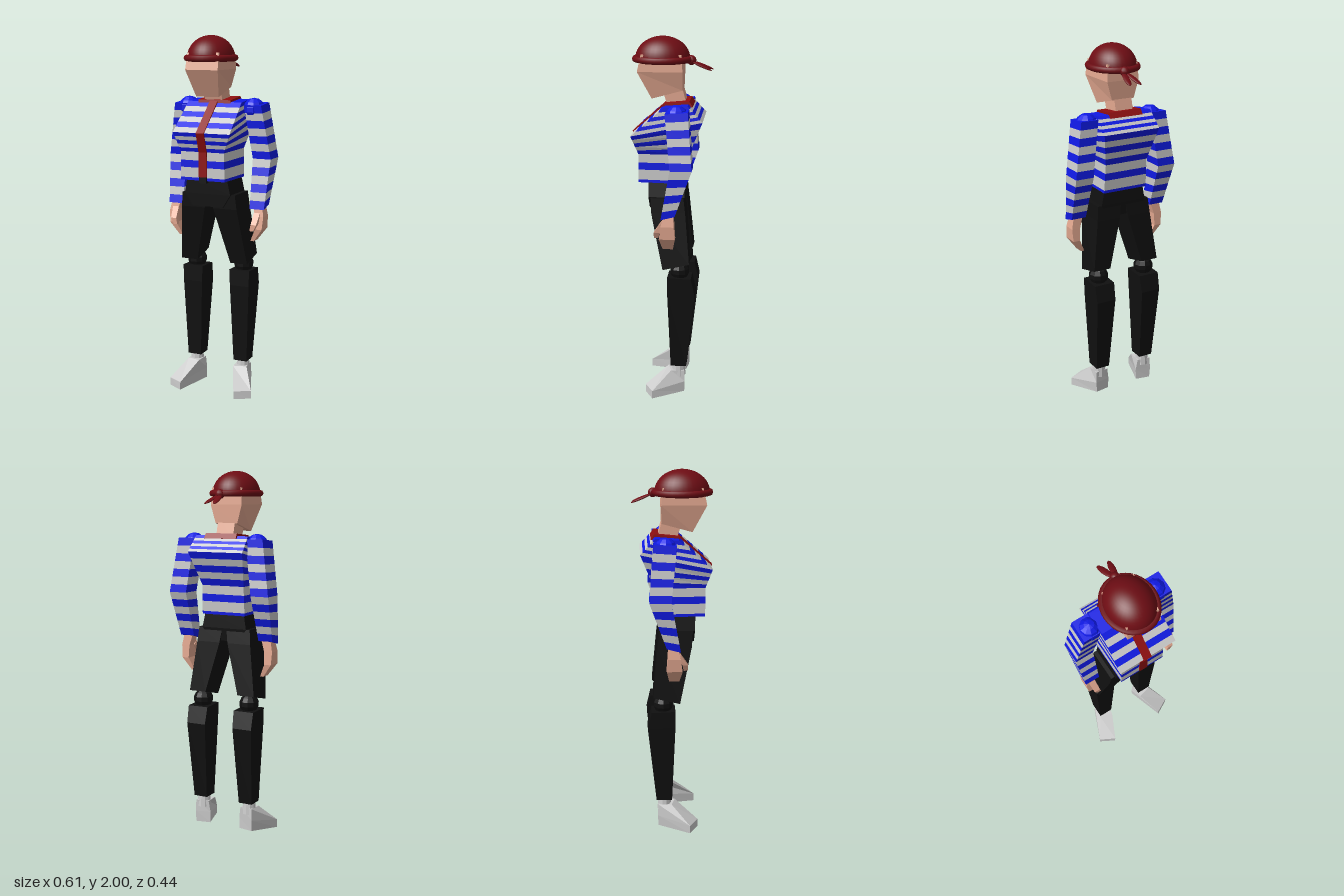
import * as THREE from 'three';

const mat = (color) => new THREE.MeshStandardMaterial({ color, flatShading: true });
const GREY = mat(0xcccccc), BLUE = mat(0x101ae6), RED = mat(0x8f0f10), BLACK = mat(0x101010), SKIN = mat(0xe3a890);
const HAT = new THREE.MeshStandardMaterial({ color: 0x6e0d14 });

// Four-cornered cross-section: centre x, half width, front [y, z], back [y, z]
const ring = (cx, hw, [fy, fz], [by, bz]) => [
  [cx + hw, fy, fz], [cx + hw, by, bz], [cx - hw, by, bz], [cx - hw, fy, fz]];

// Mirrors a cross-section to the other side, keeping the winding
const flip = (r, shift) => [...r].reverse().map(([x, y, z]) => [-x + shift, y, z]);

const mixRings = (a, b, t) => a.map((p, i) => p.map((v, k) => v + (b[i][k] - v) * t));

function toGeometry(positions) {
  const g = new THREE.BufferGeometry();
  g.setAttribute('position', new THREE.Float32BufferAttribute(positions, 3));
  g.computeVertexNormals();
  return g;
}

function addBand(out, a, b) {
  for (let i = 0; i < 4; i++) {
    const j = (i + 1) % 4;
    out.push(...a[i], ...b[i], ...b[j], ...a[i], ...b[j], ...a[j]);
  }
}
const addCap = (out, [a, b, c, d]) => out.push(...a, ...b, ...c, ...a, ...c, ...d);

function add(parent, name, geometry, material, x = 0, y = 0, z = 0) {
  const m = new THREE.Mesh(geometry, material);
  m.name = name;
  m.position.set(x, y, z);
  parent.add(m);
  return m;
}

// Solid through cross-sections listed from top to bottom
function loft(parent, name, rings, material) {
  const out = [];
  for (let i = 0; i + 1 < rings.length; i++) addBand(out, rings[i], rings[i + 1]);
  addCap(out, rings[0]);
  addCap(out, [...rings[rings.length - 1]].reverse());
  return add(parent, name, toGeometry(out), material);
}

// Same, cut into alternating blue and grey bands; stops[i] are the cuts of span i
function stripedLoft(parent, name, rings, stops) {
  const out = [[], []];
  let n = 0;
  stops.forEach((cuts, i) => {
    for (let k = 0; k + 1 < cuts.length; k++, n++) {
      addBand(out[n % 2], mixRings(rings[i], rings[i + 1], cuts[k]), mixRings(rings[i], rings[i + 1], cuts[k + 1]));
    }
  });
  addCap(out[0], rings[0]);
  addCap(out[(n - 1) % 2], [...rings[rings.length - 1]].reverse());
  const g = new THREE.Group();
  g.name = name;
  add(g, name + 'BlueStripes', toGeometry(out[0]), BLUE);
  add(g, name + 'GreyStripes', toGeometry(out[1]), GREY);
  parent.add(g);
}
const even = (n) => Array.from({ length: n + 1 }, (_, i) => i / n);

function addArm(root, side, place) {
  const arm = new THREE.Group();
  arm.name = side + 'Arm';
  root.add(arm);
  // Striped sleeve, bent at the elbow
  stripedLoft(arm, 'sleeve', [
    ring(0.205, 0.05, [1.63, 0.015], [1.64, -0.105]),
    ring(0.25, 0.052, [1.34, -0.015], [1.34, -0.13]),
    ring(0.243, 0.042, [1.07, 0.035], [1.09, -0.04]),
  ].map(place), [even(7), even(6)]);
  // Puffed shoulder
  const [px] = place(ring(0.192, 0, [0, 0], [0, 0]))[0];
  add(arm, 'shoulderPuff', new THREE.SphereGeometry(0.062, 10, 7), BLUE, px, 1.605, -0.042);
  // Hand with flat fingers bending inward, and a thumb
  loft(arm, 'hand', [
    ring(0.243, 0.027, [1.09, 0.022], [1.09, -0.03]),
    ring(0.258, 0.024, [1.03, 0.035], [1.03, -0.035]),
    ring(0.257, 0.02, [0.96, 0.045], [0.96, -0.04]),
    ring(0.215, 0.01, [0.89, 0.03], [0.89, -0.025]),
  ].map(place), SKIN);
  loft(arm, 'thumb', [
    ring(0.245, 0.018, [1.05, 0.035], [1.03, 0.01]),
    ring(0.24, 0.016, [0.99, 0.075], [0.99, 0.045]),
    ring(0.228, 0.011, [0.955, 0.075], [0.955, 0.052]),
  ].map(place), SKIN);
}

function addLeg(root, side, place) {
  const leg = new THREE.Group();
  leg.name = side + 'Leg';
  root.add(leg);
  loft(leg, 'thigh', [
    ring(0.072, 0.072, [1.15, 0.105], [1.15, -0.075]),
    ring(0.082, 0.07, [1.07, 0.1], [1.07, -0.085]),
    ring(0.138, 0.05, [0.755, 0.035], [0.79, -0.11]),
  ].map(place), BLACK);
  loft(leg, 'calf', [
    ring(0.13, 0.06, [0.71, 0.01], [0.705, -0.12]),
    ring(0.131, 0.057, [0.62, 0.01], [0.61, -0.142]),
    ring(0.13, 0.04, [0.175, -0.008], [0.175, -0.095]),
  ].map(place), BLACK);
  const [jx] = place(ring(0.132, 0, [0, 0], [0, 0]))[0];
  add(leg, 'knee', new THREE.SphereGeometry(0.055, 10, 7), BLACK, jx, 0.74, -0.055);
  add(leg, 'ankle', new THREE.CylinderGeometry(0.033, 0.04, 0.08, 10), GREY, jx, 0.15, -0.05);
  // Wedge shoe with the toe turned outward
  loft(leg, 'shoe', [
    [[0.17, 0.145, -0.01], [0.165, 0.145, -0.085], [0.09, 0.145, -0.075], [0.095, 0.145, 0.01]],
    [[0.24, 0.045, 0.09], [0.168, 0.08, -0.088], [0.08, 0.08, -0.07], [0.153, 0.045, 0.137]],
    [[0.24, 0, 0.09], [0.165, 0.018, -0.085], [0.082, 0.018, -0.07], [0.155, 0, 0.137]],
  ].map(place), GREY);
}

export function createModel() {
  const root = new THREE.Group();
  root.name = 'figure';

  // Striped shirt: shoulders, bust, waist, hem
  stripedLoft(root, 'shirt', [
    ring(-0.009, 0.158, [1.645, 0.03], [1.655, -0.095]),
    ring(-0.009, 0.166, [1.49, 0.208], [1.57, -0.175]),
    ring(-0.018, 0.127, [1.385, 0.172], [1.385, -0.1]),
    ring(-0.016, 0.13, [1.23, 0.172], [1.225, -0.09]),
  ], [even(6), even(5), [0, 0.3, 0.55, 0.9, 1]]);

  // Neckerchief: collar and the long strip down the front
  loft(root, 'collar', [
    ring(-0.009, 0.095, [1.655, 0.035], [1.668, -0.1]),
    ring(-0.009, 0.097, [1.625, 0.04], [1.64, -0.118]),
  ], RED);
  loft(root, 'scarfStrip', [
    [1.655, 0.03], [1.49, 0.215], [1.385, 0.18], [1.25, 0.18],
  ].map(([y, z]) => ring(-0.013, 0.023, [y, z], [y, z - 0.03])), RED);
  add(root, 'buckle', new THREE.BoxGeometry(0.044, 0.035, 0.03), BLACK, -0.013, 1.235, 0.164);

  // Trouser top
  loft(root, 'hips', [
    ring(-0.015, 0.118, [1.24, 0.12], [1.24, -0.075]),
    ring(-0.013, 0.135, [1.15, 0.118], [1.15, -0.078]),
    ring(-0.013, 0.09, [1.08, 0.115], [1.08, -0.072]),
  ], BLACK);

  // Neck and head
  loft(root, 'neck', [
    ring(-0.018, 0.052, [1.76, 0.06], [1.76, -0.05]),
    ring(-0.018, 0.052, [1.63, 0.02], [1.63, -0.085]),
  ], SKIN);
  loft(root, 'head', [
    ring(-0.018, 0.09, [1.91, 0.16], [1.91, -0.055]),
    ring(-0.018, 0.095, [1.82, 0.18], [1.82, -0.062]),
    ring(-0.018, 0.066, [1.675, 0.105], [1.72, -0.06]),
  ], SKIN);

  // Cap: dome, rolled rim and a knot with two tails behind
  const cap = new THREE.Group();
  cap.name = 'cap';
  cap.position.set(-0.02, 1.88, 0.052);
  root.add(cap);
  add(cap, 'dome', new THREE.SphereGeometry(1, 32, 12, 0, Math.PI * 2, 0, Math.PI / 2), HAT)
    .scale.set(0.125, 0.12, 0.148);
  const under = add(cap, 'capUnderside', new THREE.CircleGeometry(1, 32), HAT);
  under.rotation.x = Math.PI / 2;
  under.scale.set(0.125, 0.148, 1);
  const rim = add(cap, 'rim', new THREE.TorusGeometry(0.127, 0.016, 8, 36), HAT);
  rim.rotation.x = Math.PI / 2;
  rim.scale.set(1, 1.16, 1.1);
  add(cap, 'knot', new THREE.SphereGeometry(0.026, 12, 8), HAT, 0.017, -0.004, -0.155);
  for (const [name, x, z, turn] of [['rightTail', -0.001, -0.216, 0.2], ['leftTail', 0.037, -0.21, -0.2]]) {
    const tail = add(cap, name, new THREE.SphereGeometry(1, 12, 8), HAT, x, -0.032, z);
    tail.rotation.set(-0.38, turn, 0, 'YXZ');
    tail.scale.set(0.017, 0.007, 0.062);
  }

  // Paired limbs
  addArm(root, 'left', (r) => r);
  addArm(root, 'right', (r) => flip(r, -0.004));
  addLeg(root, 'left', (r) => r);
  addLeg(root, 'right', (r) => flip(r, -0.026));
  return root;
}
